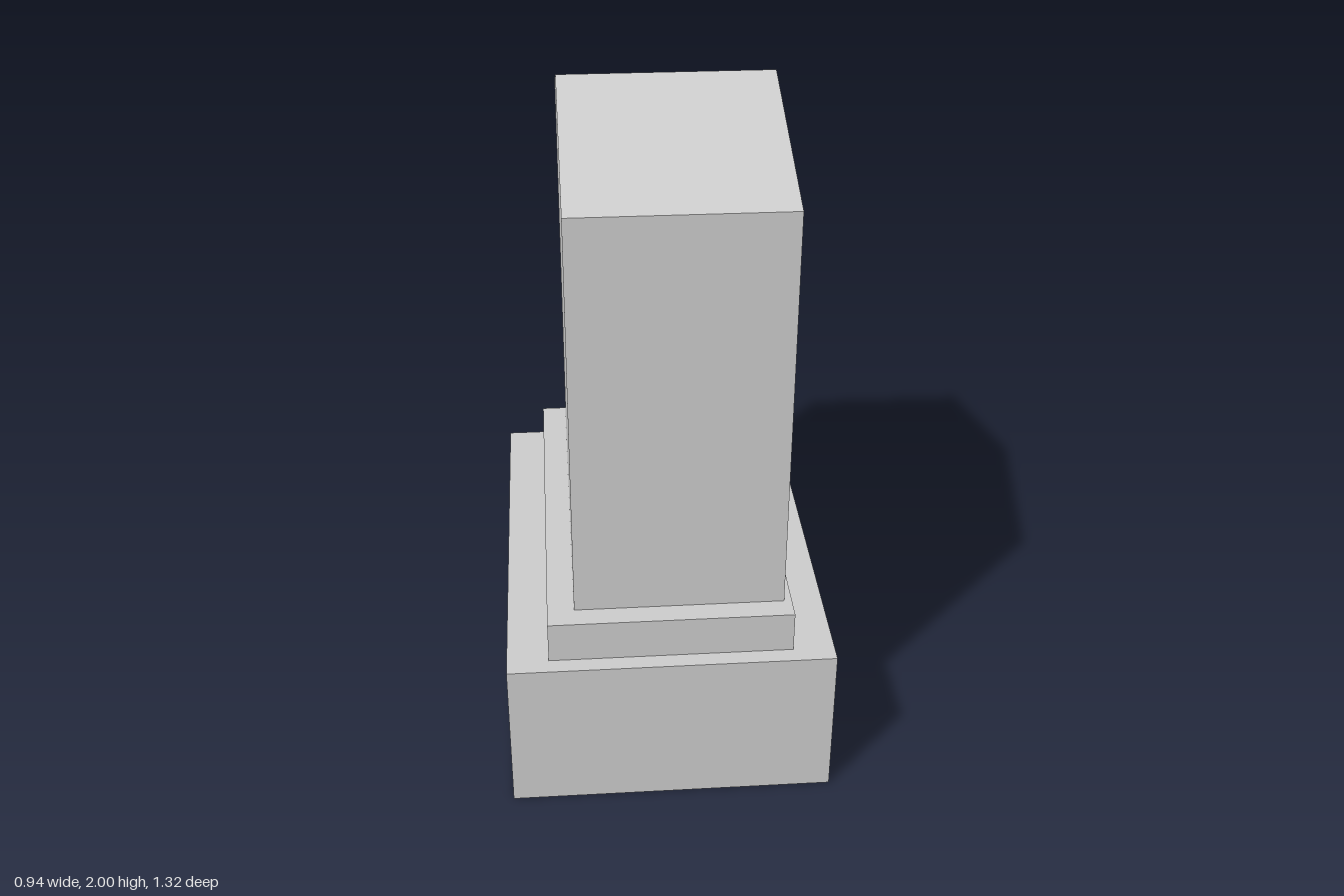
import * as THREE from 'three';

const stone = new THREE.MeshStandardMaterial({ color: 0xcccccc, flatShading: true });

function add(group, name, geometry, x = 0, y = 0, z = 0) {
  const mesh = new THREE.Mesh(geometry, stone);
  mesh.name = name;
  mesh.position.set(x, y, z);
  group.add(mesh);
}

// Gabled outline in the plane at x, from the +z foot over the apex to the -z foot
function gable(x, halfWidth, shoulder, apex, foot = 0.6) {
  return [
    [x, foot, halfWidth], [x, shoulder, halfWidth], [x, apex, 0],
    [x, shoulder, -halfWidth], [x, foot, -halfWidth],
  ];
}

// Slab with a bevelled recess on its +x face, lofted through gabled outlines
function tabletGeometry() {
  const rings = [
    gable(-0.275, 0.543, 1.81, 2),
    gable(0.33, 0.543, 1.81, 2),
    gable(0.33, 0.475, 1.755, 1.91),
    gable(0.265, 0.408, 1.695, 1.825),
  ];
  const pos = [];
  const tri = (a, b, c) => pos.push(...a, ...b, ...c);
  for (let k = 0; k < 3; k++) {
    for (let i = 0; i < 4; i++) {
      const a = rings[k][i], b = rings[k + 1][i], c = rings[k + 1][i + 1], d = rings[k][i + 1];
      tri(a, b, c);
      tri(a, c, d);
    }
  }
  const back = rings[0], panel = rings[3];
  for (let i = 1; i < 4; i++) {
    tri(back[0], back[i], back[i + 1]);
    tri(panel[0], panel[i + 1], panel[i]);
  }
  const g = new THREE.BufferGeometry();
  g.setAttribute('position', new THREE.Float32BufferAttribute(pos, 3));
  g.computeVertexNormals();
  return g;
}

// Flared cross: half outline from top to bottom, mirrored
function crossGeometry() {
  const half = [
    [0, 1.68], [0.065, 1.645], [0.052, 1.513], [0.272, 1.54], [0.308, 1.473],
    [0.272, 1.407], [0.036, 1.434], [0.066, 1.095], [0, 1.063],
  ];
  const mirrored = half.slice(1, -1).reverse().map(([x, y]) => [-x, y]);
  const shape = new THREE.Shape([...half, ...mirrored].map(([x, y]) => new THREE.Vector2(x, y)));
  const g = new THREE.ExtrudeGeometry(shape, { depth: 0.076, bevelEnabled: false });
  return g.rotateY(Math.PI / 2);
}

export function createModel() {
  const group = new THREE.Group();
  group.name = 'gravestone';
  add(group, 'base', new THREE.BoxGeometry(0.945, 0.475, 1.32), 0, 0.2375, 0);
  add(group, 'plinth', new THREE.BoxGeometry(0.705, 0.125, 1.22), 0, 0.5375, 0);
  add(group, 'tablet', tabletGeometry());
  add(group, 'cross', crossGeometry(), 0.262, 0, 0.022);
  return group;
}
